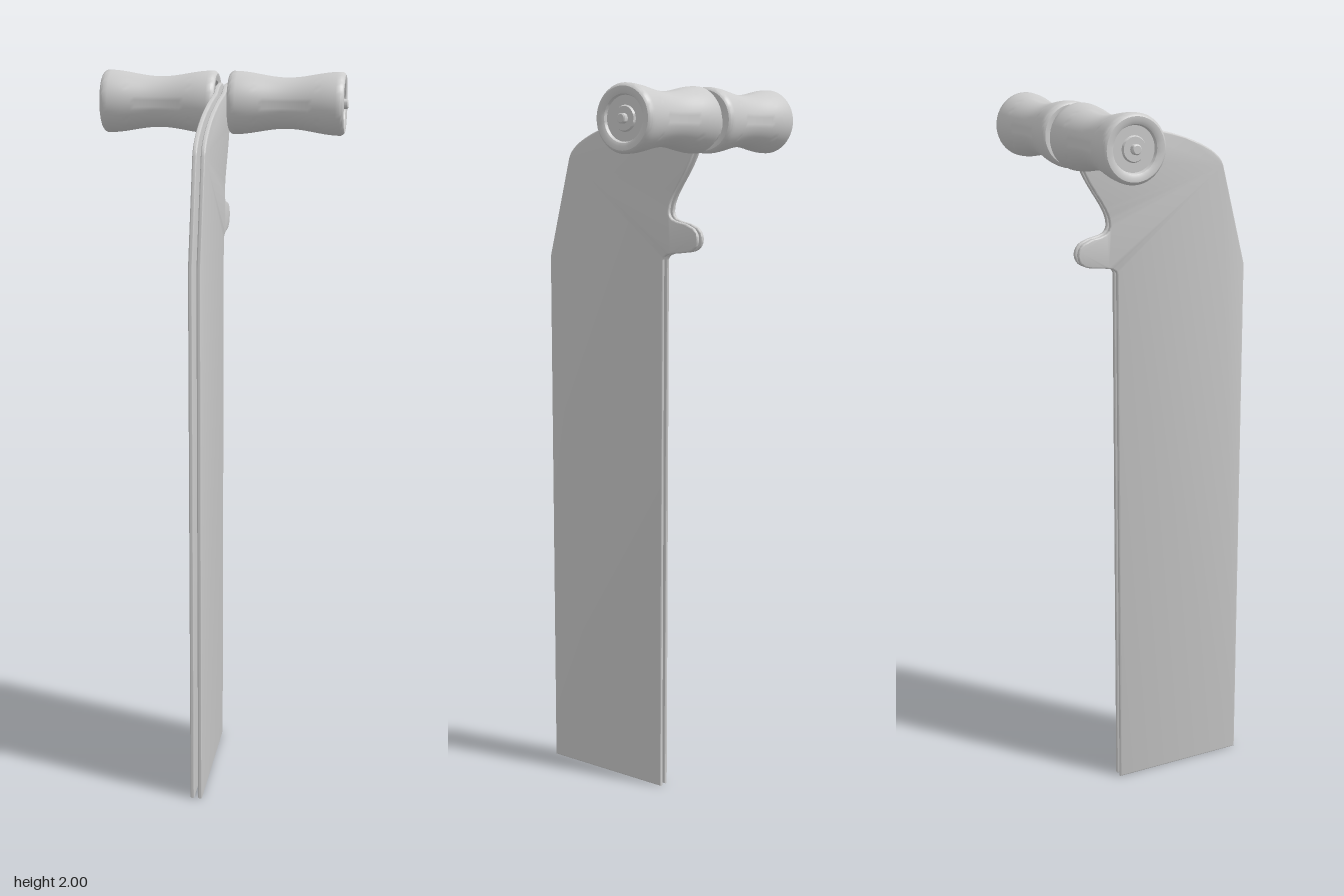
import * as THREE from 'three';
import { toCreasedNormals } from 'three/addons/utils/BufferGeometryUtils.js';

const AXLE_Y = 1.914, AXLE_Z = -0.21;

// Side outline of a plate, drawn as (z, y)
function plateShape() {
  const s = new THREE.Shape();
  s.moveTo(-0.1, 0);
  s.lineTo(0.3, 0);
  s.lineTo(0.3, 1.535);
  s.lineTo(0.228, 1.815);
  s.bezierCurveTo(0.21, 1.875, 0.05, 1.925, -0.12, 1.945);
  // Rounded head around the axle
  s.quadraticCurveTo(-0.16, 1.968, -0.21, 1.968);
  s.absarc(AXLE_Z, 1.906, 0.062, Math.PI / 2, Math.PI * 1.35, false);
  // Concave neck
  s.lineTo(-0.2, 1.832);
  s.bezierCurveTo(-0.17, 1.76, -0.12, 1.72, -0.12, 1.672);
  // Hook
  s.bezierCurveTo(-0.125, 1.64, -0.16, 1.65, -0.187, 1.636);
  s.bezierCurveTo(-0.225, 1.625, -0.225, 1.575, -0.187, 1.566);
  s.bezierCurveTo(-0.15, 1.557, -0.105, 1.565, -0.1, 1.54);
  s.closePath();
  return s;
}

function plateGeometry() {
  const bevel = 0.004, thickness = 0.012;
  const geo = new THREE.ExtrudeGeometry(plateShape(), {
    depth: thickness - 2 * bevel, curveSegments: 16,
    bevelEnabled: true, bevelThickness: bevel, bevelSize: bevel, bevelOffset: -bevel, bevelSegments: 3,
  });
  geo.translate(0, 0, bevel - thickness / 2);
  geo.rotateY(-Math.PI / 2);
  return toCreasedNormals(geo, 0.6);
}

// Waisted roller with dished ends, lathed from the inner end outwards
function rollerGeometry() {
  const inner = 0.018, outer = 0.341, mid = (inner + outer) / 2;
  const end = [[0, 0.006], [0.03, 0.006], [0.033, 0.012], [0.057, 0.012], [0.06, 0.004], [0.068, 0], [0.079, 0], [0.084, 0.004]];
  const pts = end.map(([r, d]) => new THREE.Vector2(r, inner + d));
  const half = mid - inner - 0.01;
  for (let i = 0; i <= 24; i++) {
    const t = i / 12 - 1;
    pts.push(new THREE.Vector2(0.0785 - 0.0085 * Math.cos(Math.PI * t), mid + half * t));
  }
  end.reverse().forEach(([r, d]) => pts.push(new THREE.Vector2(r, outer - d)));
  return toCreasedNormals(new THREE.LatheGeometry(pts, 48), 0.6);
}

export function createModel() {
  const group = new THREE.Group();
  const material = new THREE.MeshStandardMaterial({ color: 0xcccccc });
  const add = (name, geo) => {
    const mesh = new THREE.Mesh(geo, material);
    mesh.name = name;
    group.add(mesh);
    return mesh;
  };

  const plate = plateGeometry(), roller = rollerGeometry();
  for (const [side, sx] of [['left', 1], ['right', -1]]) {
    add(side + 'Plate', plate).position.x = sx * 0.011;
    const r = add(side + 'Roller', roller);
    r.rotation.z = -sx * Math.PI / 2;
    r.position.set(0, AXLE_Y, AXLE_Z);
  }

  // Axle through both rollers, with chamfered tips
  const tip = 0.349;
  const profile = [[0, -tip], [0.01, -tip], [0.013, -tip + 0.003], [0.013, tip - 0.003], [0.01, tip], [0, tip]];
  const axle = add('axle', toCreasedNormals(
    new THREE.LatheGeometry(profile.map(([r, y]) => new THREE.Vector2(r, y)), 24), 0.6));
  axle.rotation.z = -Math.PI / 2;
  axle.position.set(0, AXLE_Y, AXLE_Z);

  return group;
}
